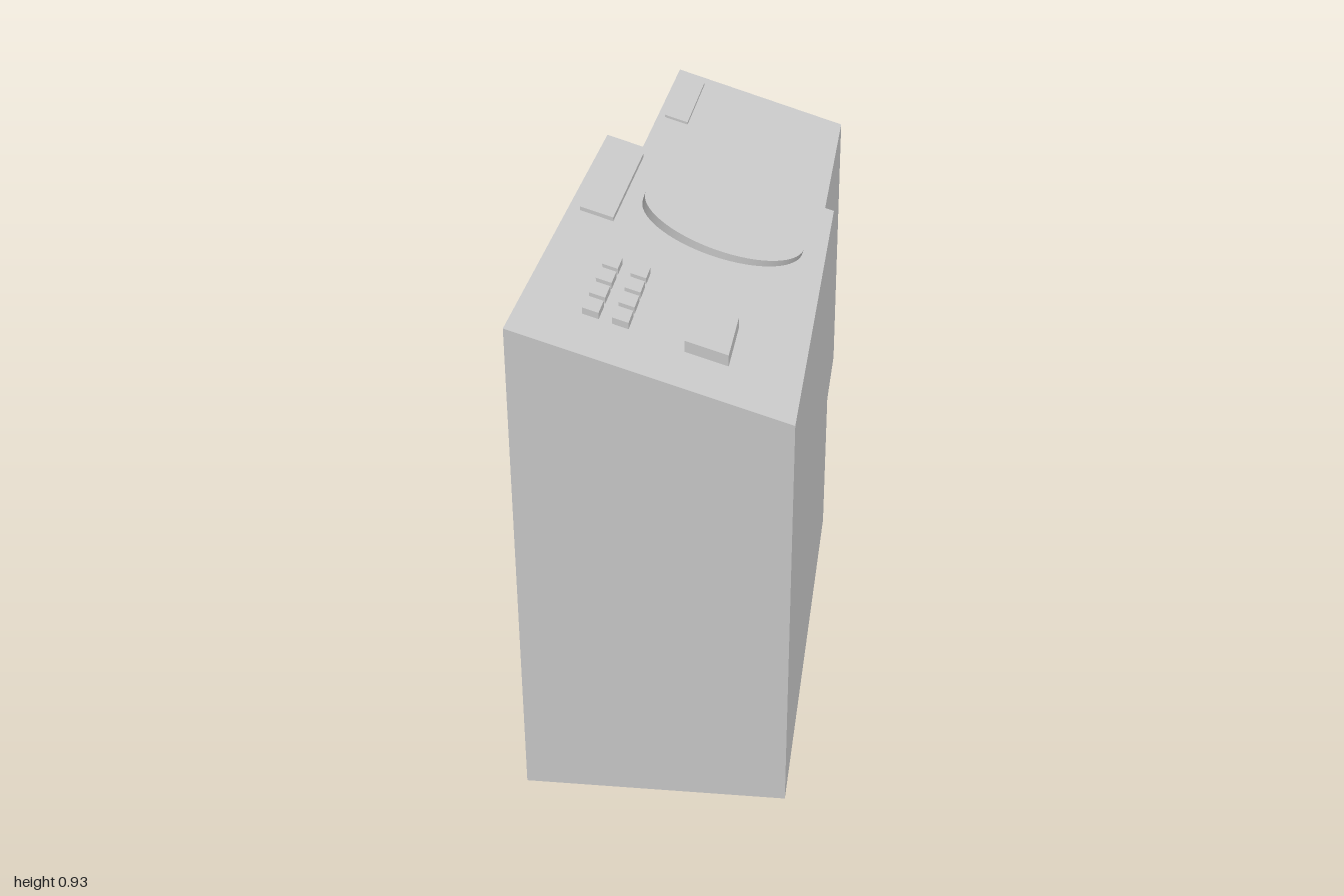
import * as THREE from 'three';

const material = new THREE.MeshStandardMaterial({ color: 0xcccccc, flatShading: true });

// Height of a sloping top at x, falling towards +x
const mainTop = (x) => 0.852 - 0.312 * x;
const rearTop = (x) => 0.7415 - 0.316 * x;

// Four-cornered front outline carried from z0 to z1
function prism(name, corners, z0, z1) {
  const shape = new THREE.Shape(corners.map(([x, y]) => new THREE.Vector2(x, y)));
  const geometry = new THREE.ExtrudeGeometry(shape, { depth: z1 - z0, bevelEnabled: false });
  geometry.translate(0, 0, z0);
  const mesh = new THREE.Mesh(geometry, material);
  mesh.name = name;
  return mesh;
}

// Flat raised panel following a sloping top, sunk slightly into it
function raised(name, top, x0, x1, z0, z1, height) {
  const sink = 0.004;
  return prism(name, [
    [x0, top(x0) - sink], [x1, top(x1) - sink],
    [x1, top(x1) + height], [x0, top(x0) + height],
  ], z0, z1);
}

export function createModel() {
  const model = new THREE.Group();
  model.name = 'console';

  // Two slope-topped housings with a narrow gap between them
  model.add(prism('mainHousing',
    [[-0.245, 0.005], [0.24, 0.005], [0.247, mainTop(0.247)], [-0.25, mainTop(-0.25)]], -0.063, 1));
  model.add(prism('rearHousing',
    [[-0.214, 0], [0.207, 0], [0.211, rearTop(0.211)], [-0.217, rearTop(-0.217)]], -1, -0.073));

  // Long strips near the high edges
  model.add(raised('mainStrip', mainTop, -0.228, -0.162, 0, 0.395, 0.008));
  model.add(raised('rearStrip', rearTop, -0.2, -0.145, -0.945, -0.6, 0.006));

  // Round dial lying on the slope
  const dial = new THREE.Mesh(new THREE.CylinderGeometry(0.172, 0.172, 0.02, 64),
    new THREE.MeshStandardMaterial({ color: 0xcccccc }));
  dial.name = 'dial';
  dial.position.set(0.038, mainTop(0.038) + 0.005, 0.23);
  dial.rotation.z = -0.32;
  model.add(dial);

  // Two columns of four small buttons
  const buttons = new THREE.Group();
  buttons.name = 'buttons';
  for (const x of [-0.143, -0.09]) {
    for (let row = 0; row < 4; row++) {
      const z = 0.58 + row * 0.07;
      buttons.add(raised('button', mainTop, x, x + 0.029, z, z + 0.055, 0.012));
    }
  }
  model.add(buttons);

  // Larger key beside the buttons
  model.add(raised('largeKey', mainTop, 0.04, 0.118, 0.688, 0.86, 0.021));

  return model;
}
